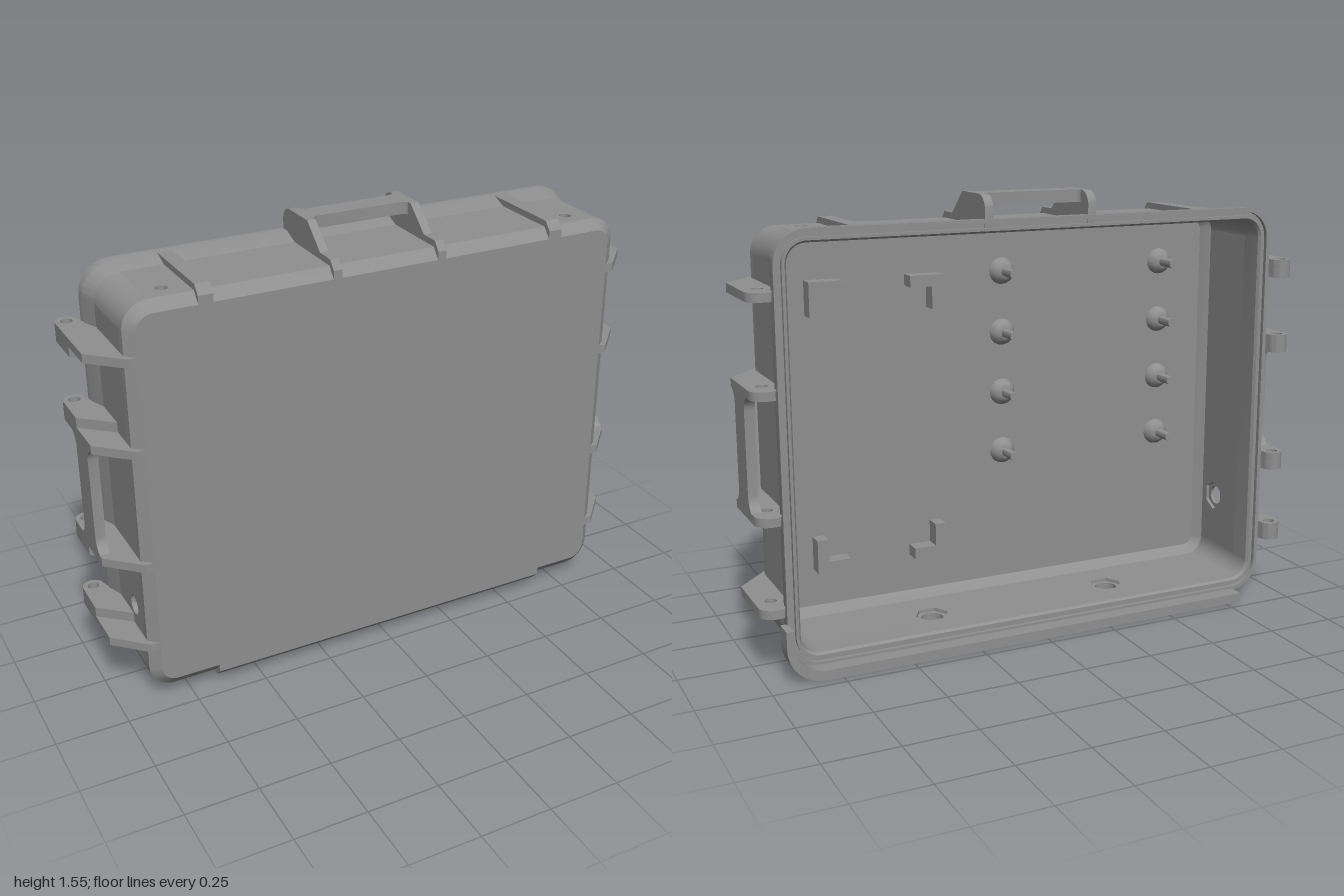
import * as THREE from 'three';
import { toCreasedNormals } from 'three/addons/utils/BufferGeometryUtils.js';

const CY = 0.75; // height of the case centre
const W = 0.917, H = 0.72, R = 0.11; // lip half width, half height, corner radius
const BODY = 0.022, INNER = 0.045; // inset of outer and inner wall from the lip
const Z0 = -0.07, Z1 = 0.155; // depth range of the flat wall panels

const arc = (cx, cy, r, a0, a1, n = 8) => Array.from({ length: n + 1 }, (_, i) => {
  const a = (a0 + (a1 - a0) * i / n) * Math.PI / 180;
  return [cx + r * Math.cos(a), cy + r * Math.sin(a)];
});
const vec = pts => pts.map(p => new THREE.Vector2(p[0], p[1]));
const circle = (x, y, r, n = 20) => arc(x, y, r, 0, 360 - 360 / n, n - 1);

function extrude(pts, depth, holes = []) {
  const s = new THREE.Shape(vec(pts));
  holes.forEach(h => s.holes.push(new THREE.Path(vec(h))));
  const g = new THREE.ExtrudeGeometry(s, { depth, bevelEnabled: false });
  return toCreasedNormals(g, 0.6);
}
// Outline in (x, z), extruded downward from yTop
const slab = (pts, yTop, depth, holes) =>
  extrude(pts, depth, holes).rotateX(Math.PI / 2).translate(0, yTop, 0);
// Outline in (z, y), extruded from x0 to x1
const profile = (pts, x0, x1) => extrude(pts, x1 - x0).rotateY(-Math.PI / 2).translate(x1, 0, 0);

// Rounded rectangle, inset by o from the lip
const N = 8;
function loop(o) {
  const cx = W - R, cy = H - R, r = R - o;
  return [[cx, cy, 0], [-cx, cy, 90], [-cx, -cy, 180], [cx, -cy, 270]]
    .flatMap(([x, y, a]) => arc(x, y, r, a, a + 90, N));
}

// Hollow tray with chamfered front and grooved rim, leaving gaps for the wall panels
function shellGeometry() {
  const rows = [[0.058, 0.215], [BODY, 0.185], [BODY, Z1], [BODY, Z0], [0, -0.125], [0, -0.16],
    [0.014, -0.16], [0.014, -0.145], [0.028, -0.145], [0.028, -0.16], [0.038, -0.16], [INNER, -0.15],
    [INNER, Z0], [INNER, Z1], [0.075, 0.185]];
  const pos = [], loops = rows.map(r => loop(r[0])), n = loops[0].length;
  for (let k = 0; k < rows.length - 1; k++) {
    const panelBand = k === 2 || k === 12;
    for (let j = 0; j < n; j++) {
      if (panelBand && j % (N + 1) === N) continue;
      const P = (kk, jj) => [...loops[kk][jj % n], rows[kk][1]];
      const a = P(k, j), b = P(k + 1, j), c = P(k + 1, j + 1), d = P(k, j + 1);
      pos.push(...a, ...b, ...c, ...a, ...c, ...d);
    }
  }
  const g = new THREE.BufferGeometry();
  g.setAttribute('position', new THREE.Float32BufferAttribute(pos, 3));
  g.computeVertexNormals();
  return toCreasedNormals(g, 0.4);
}

export function createModel() {
  const model = new THREE.Group();
  model.name = 'caseHalf';
  const grey = new THREE.MeshStandardMaterial({ color: 0x8f8f8f });
  grey.name = 'grey plastic';
  const add = (name, geo, parent = model) => {
    const m = new THREE.Mesh(geo, grey);
    m.name = name;
    parent.add(m);
    return m;
  };

  // Shell, front face and inner floor
  add('shell', shellGeometry()).position.y = CY;
  const cap = o => new THREE.ShapeGeometry(new THREE.Shape(vec(loop(o))));
  add('frontFace', cap(0.058).translate(0, CY, 0.215));
  add('innerFloor', cap(0.075).rotateY(Math.PI).translate(0, CY, 0.185));

  // Wall panels: round hole outside, optional hexagonal pocket inside
  const rect = (l, z0, z1) => [[-l, z0], [l, z0], [l, z1], [-l, z1]];
  function wall(name, half, x, y, rot, holes) {
    const g = new THREE.Group();
    g.name = name;
    const outer = holes.map(([u, z, r]) => circle(u, z, r));
    const inner = holes.map(([u, z, r, hex]) => hex ? circle(u, z, hex, 6) : circle(u, z, r));
    add(name + 'Outer', slab(rect(half, Z0, Z1), 0, 0.011, outer), g);
    add(name + 'Inner', slab(rect(half, Z0, Z1), -0.011, INNER - BODY - 0.011, inner), g);
    g.position.set(x, y, 0);
    g.rotation.z = rot;
    model.add(g);
  }
  const wx = W - BODY, wy = H - BODY, lx = W - R, ly = H - R;
  wall('topWall', lx, 0, CY + wy, 0, [[-0.74, 0.12, 0.02], [0.74, 0.12, 0.02]]);
  wall('bottomWall', lx, 0, CY - wy, Math.PI, [[-0.35, 0, 0.04, 0.06], [0.35, 0, 0.04, 0.06]]);
  wall('rightWall', ly, -wx, CY, Math.PI / 2, [[-0.42, 0.08, 0.035, 0.055]]);
  wall('leftWall', ly, wx, CY, -Math.PI / 2, []);

  // Raised pad under the case
  add('bottomPad', slab(rect(0.655, -0.125, 0.185), 0.052, 0.022,
    [circle(-0.35, 0, 0.04), circle(0.35, 0, 0.04)]));
  add('bottomPadEdge', profile([[0.215, 0.092], [0.185, 0.055], [0.185, 0.03], [0.215, 0.06]], -0.655, 0.655));

  // Skirt along the bottom, wrapping one lower corner
  const skirt = [[-0.81, 0], ...arc(0.807, 0.13, 0.13, -90, 0, 12), [0.937, 0.19], [0.912, 0.19],
    ...arc(0.807, 0.14, 0.105, 0, -90, 12), [-0.81, 0.035]];
  add('bottomSkirt', extrude(skirt, 0.07).translate(0, 0, -0.215));

  // Top ribs
  const ribTop = [[0.215, 1.4], [0.215, 1.44], [0.19, 1.47]];
  const ribBase = [[-0.15, 1.43], [0.19, 1.43]];
  for (const s of [-1, 1]) {
    add('topRib', profile([...ribTop, [-0.13, 1.47], ...ribBase], s * 0.635 - 0.025, s * 0.635 + 0.025));
    // Carry handle ends
    add('topHandleEnd', profile([...ribTop, [0.12, 1.47], [0.03, 1.55],
      ...arc(-0.105, 1.5, 0.05, 90, 180), ...ribBase], s * 0.19 - 0.015, s * 0.19 + 0.015));
  }

  // Grip bar that widens at both ends; l = half length, a..b = bar width, f = fillet
  const spool = (l, a, b, f) => [
    ...arc(-l + f, a - f, f, 180, 90), ...arc(l - f, a - f, f, 90, 0),
    ...arc(l - f, b + f, f, 0, -90), ...arc(-l + f, b + f, f, -90, -180)];
  add('topHandleGrip', slab(spool(0.18, -0.085, 0, 0.03), 1.55, 0.042));

  // Side ribs with latch ears on the left and hinge knuckles on the right
  const root = [[0.88, -0.13], [0.88, 0.17], [0.86, 0.214]];
  const latch = [...root, [0.89, 0.215], [1, 0.1], ...arc(0.95, -0.115, 0.05, 0, -90), [0.925, -0.163], [0.905, -0.12]];
  const ring = arc(0.963, -0.163, 0.037, 0, -180, 12);
  const hinge = [...root, [0.89, 0.215], [1, 0.11], ...ring, [0.905, -0.1]];
  const knuckle = [[0.88, -0.1], [0.88, 0.075], [1, -0.03], ...ring, [0.905, -0.1]];
  const mirror = pts => pts.map(([x, z]) => [-x, z]);
  const pin = mirror(circle(0.963, -0.163, 0.02));
  [[1.28, 1], [0.97, -1], [0.56, 1], [0.25, -1]].forEach(([top, dir]) => {
    add('latchEar', slab(latch, top, 0.03, [circle(0.945, -0.07, 0.02)]));
    add('hingeRib', slab(mirror(hinge), top, 0.03, [pin]));
    add('hingeKnuckle', slab(mirror(knuckle), dir > 0 ? top - 0.03 : top + 0.035, 0.035, [pin]));
  });

  // Side grips between the middle ribs
  for (const s of [-1, 1]) {
    const g = slab(spool(0.195, -0.055, 0.06, 0.055), 0, 0.035).rotateZ(-Math.PI / 2);
    add('sideGrip', g.translate(s > 0 ? 1 : -0.965, CY, 0));
  }

  // Posts on the inner floor: domed foot with a thin rod
  const post = [[0.048, 0], [0.045, 0.012], [0.034, 0.026], [0.018, 0.036], [0.016, 0.036], [0.016, 0.11], [0, 0.11]];
  const postGeo = toCreasedNormals(new THREE.LatheGeometry(vec(post), 20), 0.7).rotateX(-Math.PI / 2);
  for (const x of [-0.01, -0.66]) {
    for (let i = 0; i < 4; i++) add('post', postGeo).position.set(x, 0.59 + 0.22 * i, 0.186);
  }

  // Corner brackets that hold a rectangular unit
  for (const sx of [-1, 1]) for (const sy of [-1, 1]) {
    const L = [[0, 0], [0.12, 0], [0.12, 0.04], [0.04, 0.04], [0.04, 0.12], [0, 0.12]]
      .map(([x, y]) => [0.48 + sx * (0.24 - x), 0.75 + sy * (0.51 - y)]);
    add('cornerBracket', extrude(L, 0.06).translate(0, 0, 0.127));
  }
  return model;
}
